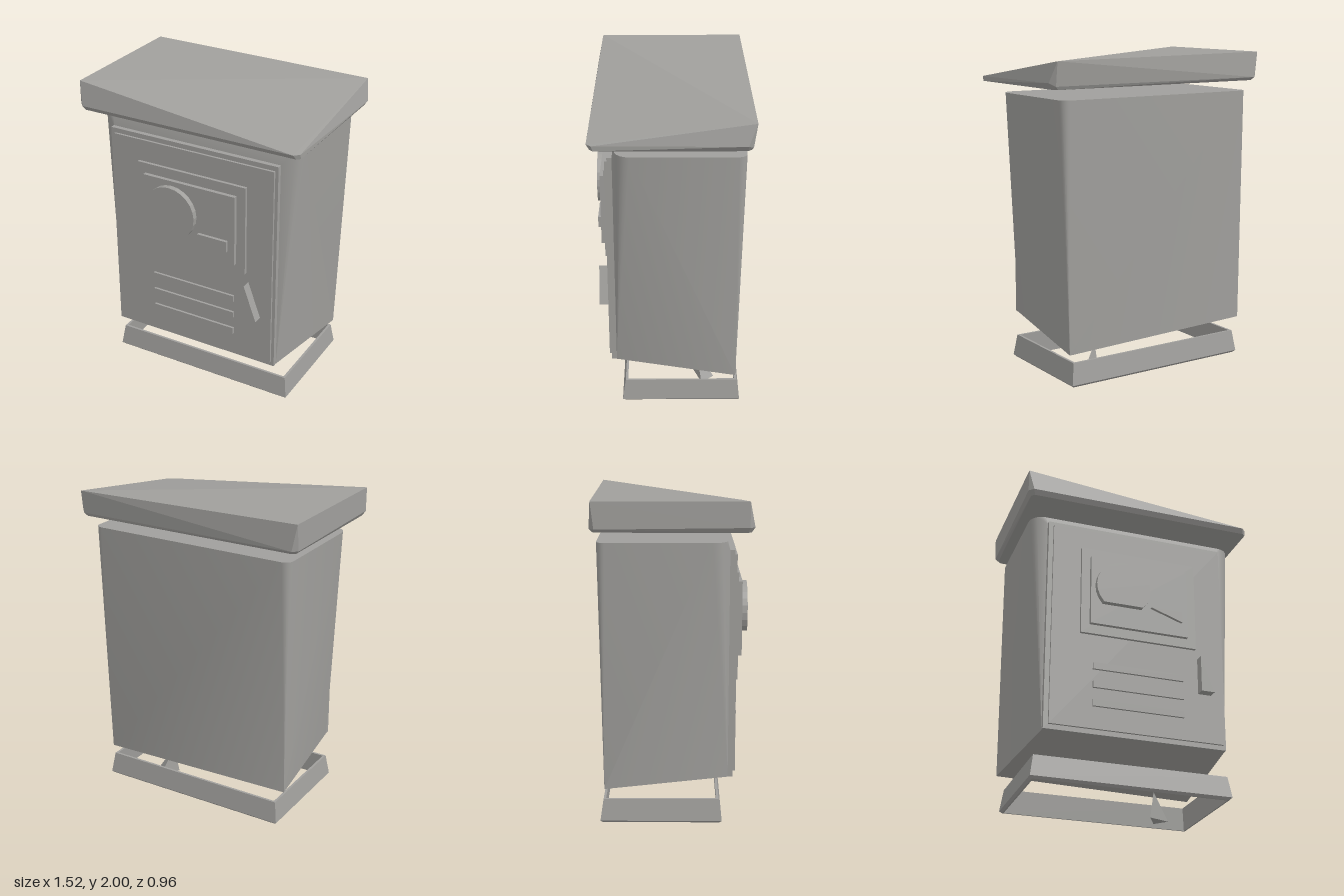
import * as THREE from 'three';
import { toCreasedNormals } from 'three/addons/utils/BufferGeometryUtils.js';
import { ConvexGeometry } from 'three/addons/geometries/ConvexGeometry.js';

export function createModel() {
  const group = new THREE.Group();
  const grey = new THREE.MeshStandardMaterial({ color: 0xa09f9c });
  grey.name = 'cabinet grey';

  const add = (name, geometry) => {
    const mesh = new THREE.Mesh(geometry, grey);
    mesh.name = name;
    group.add(mesh);
    return mesh;
  };
  const hull = (points) => new ConvexGeometry(points.map((p) => new THREE.Vector3(...p)));

  // Box given by its two corners in x and y, and its back and front in z
  const plate = (name, x0, x1, y0, y1, z0, z1) => {
    const geo = new THREE.BoxGeometry(x1 - x0, y1 - y0, z1 - z0);
    geo.translate((x0 + x1) / 2, (y0 + y1) / 2, (z0 + z1) / 2);
    return add(name, geo);
  };

  // Outline in x and y, extruded from z0 to z1
  const prism = (name, outline, z0, z1) => {
    const shape = new THREE.Shape(outline.map((p) => new THREE.Vector2(...p)));
    const geo = new THREE.ExtrudeGeometry(shape, { depth: z1 - z0, bevelEnabled: false });
    geo.translate(0, 0, z0);
    return add(name, geo);
  };

  // Chamfered horizontal outline at height y
  const chamferedLoop = (x0, x1, z0, z1, y, c) => [
    [x0, y, z0 + c], [x0 + c, y, z0], [x1 - c, y, z0], [x1, y, z0 + c],
    [x1, y, z1 - c], [x1 - c, y, z1], [x0 + c, y, z1], [x0, y, z1 - c],
  ];

  // Roof slab, sagging at its front left corner
  add('roof', hull([
    [-0.76, 2, 0.45], [-0.76, 2, -0.46], [0.73, 1.985, -0.48],
    [-0.76, 1.85, 0.45], [-0.73, 1.85, 0.48], [0.7, 1.85, 0.48], [0.73, 1.85, 0.45],
    [0.76, 1.86, -0.43], [0.73, 1.84, -0.46], [-0.73, 1.84, -0.47], [-0.76, 1.84, -0.44],
    ...chamferedLoop(-0.74, 0.73, -0.45, 0.46, 1.82, 0.02),
  ]));

  // Body: rounded outline at the top, running down to four sharp corners
  const body = [];
  const corners = [[0.67, 0.33, 0.09, 0], [-0.7, 0.33, 0.09, 1], [-0.7, -0.435, 0.05, 2], [0.67, -0.435, 0.05, 3]];
  for (const [x, z, r, quarter] of corners) {
    for (let i = 0; i <= 5; i++) {
      const a = (quarter + i / 5) * Math.PI / 2;
      body.push([
        x - Math.sign(x) * r + r * Math.cos(a), 1.755,
        z - Math.sign(z) * r + r * Math.sin(a),
      ]);
    }
  }
  body.push(
    [-0.6, 1.7, 0.345], [0.56, 1.7, 0.345],
    [-0.6, 0.3, 0.345], [0.56, 0.3, 0.345],
    [-0.685, 0.25, -0.405], [0.62, 0.215, -0.405],
  );
  add('body', toCreasedNormals(hull(body), 0.5));

  // Stepped door and display panels
  plate('doorFrame', -0.6, 0.56, 0.3, 1.7, 0.33, 0.375);
  plate('doorPanel', -0.57, 0.54, 0.33, 1.67, 0.37, 0.39);
  plate('displayFrame', -0.39, 0.365, 0.94, 1.53, 0.385, 0.41);
  plate('displayPanel', -0.335, 0.305, 1, 1.465, 0.405, 0.435);

  // Vent slats
  for (const y of [0.71, 0.59, 0.47]) plate('ventSlat', -0.305, 0.28, y, y + 0.043, 0.385, 0.405);

  // Round dial with a flat bottom, and its pointer
  const dial = [];
  const start = -Math.asin(0.12 / 0.175);
  for (let i = 0; i <= 18; i++) {
    const a = start + (Math.PI - 2 * start) * i / 18;
    dial.push([-0.133 + 0.175 * Math.cos(a), 1.26 + 0.175 * Math.sin(a)]);
  }
  prism('dial', dial, 0.43, 0.47);
  prism('pointer', [[0.055, 1.16], [0.26, 1.09], [0.26, 1.16]], 0.43, 0.455);

  // Door handle
  prism('handle', [[0.38, 0.645], [0.465, 0.645], [0.38, 0.88]], 0.385, 0.45);

  // Open plinth frame: rectangular loops [x0, x1, z0, z1, y] up the outside and down the inside
  const loops = [
    [-0.635, 0.605, -0.42, 0.295, 0.015],
    [-0.65, 0.62, -0.435, 0.31, 0.03],
    [-0.63, 0.6, -0.415, 0.29, 0.165],
    [-0.615, 0.585, -0.4, 0.275, 0.165],
    [-0.625, 0.595, -0.41, 0.285, 0.015],
  ].map(([x0, x1, z0, z1, y]) => [[x0, y, z1], [x1, y, z1], [x1, y, z0], [x0, y, z0]]);
  const positions = [];
  loops.forEach((low, k) => {
    const high = loops[(k + 1) % loops.length];
    for (let i = 0; i < 4; i++) {
      const j = (i + 1) % 4;
      for (const p of [low[i], low[j], high[j], low[i], high[j], high[i]]) positions.push(...p);
    }
  });
  const frame = new THREE.BufferGeometry();
  frame.setAttribute('position', new THREE.Float32BufferAttribute(positions, 3));
  frame.computeVertexNormals();
  add('plinthFrame', frame);

  // Small pointed foot under the cabinet
  add('foot', hull([[0.26, 0, -0.15], [0.4, 0, -0.2], [0.33, 0, -0.28], [0.29, 0.175, -0.165]]));

  return group;
}
